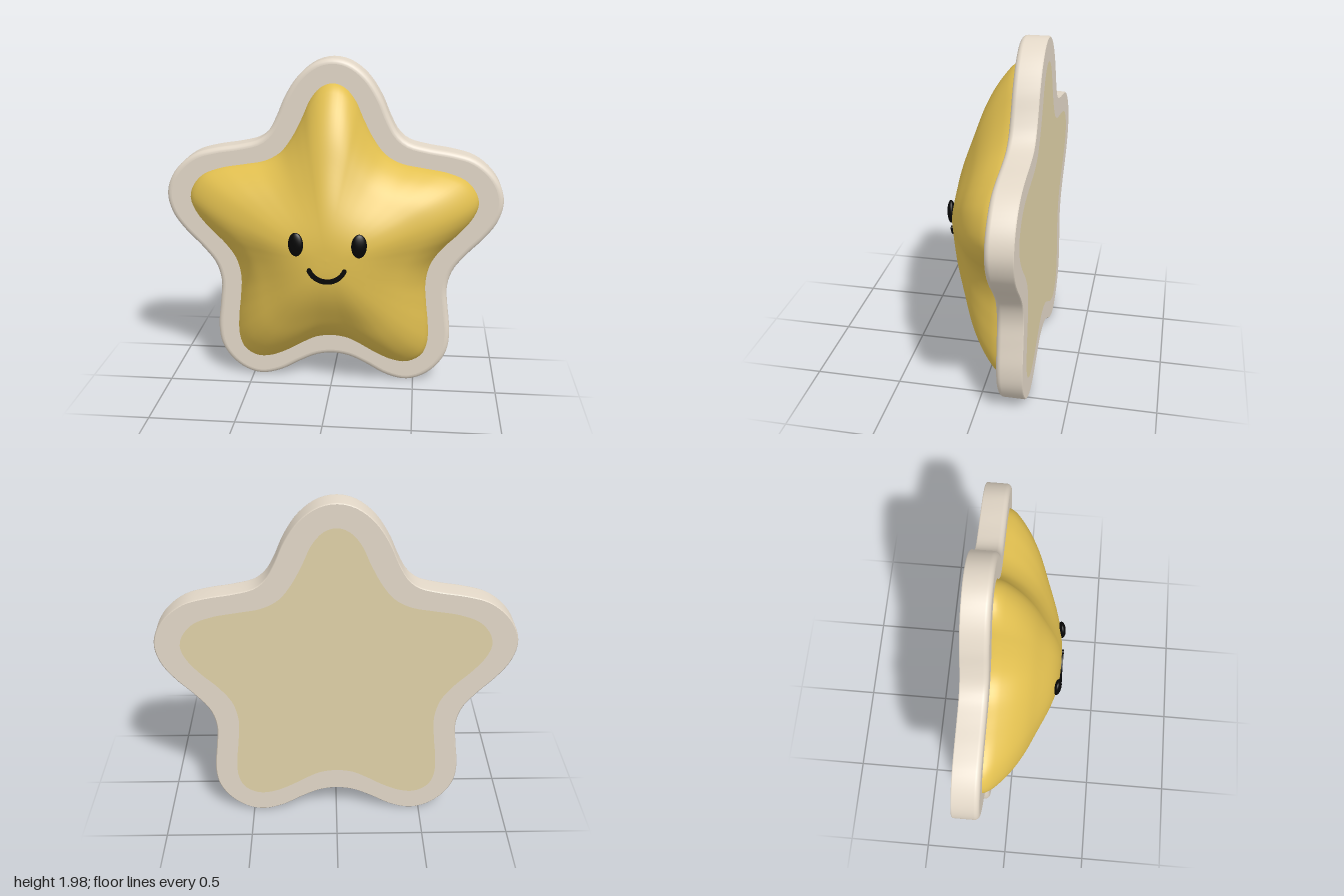
import * as THREE from 'three';

const CENTER_Y = 0.9;

// Right halves of the two star outlines, from the top tip to the bottom notch
const PLATE = [[0, 1.98], [0.1, 1.957], [0.2, 1.88], [0.28, 1.76], [0.33, 1.645], [0.38, 1.555], [0.44, 1.505],
  [0.55, 1.475], [0.7, 1.45], [0.82, 1.415], [0.92, 1.34], [0.98, 1.25], [1.0, 1.15], [0.97, 1.04], [0.9, 0.94],
  [0.8, 0.835], [0.72, 0.73], [0.69, 0.62], [0.7, 0.48], [0.716, 0.32], [0.7, 0.2], [0.64, 0.1], [0.55, 0.03],
  [0.45, 0.003], [0.33, 0.03], [0.2, 0.1], [0.1, 0.145], [0, 0.16]];
const BODY = [[0, 1.845], [0.07, 1.82], [0.13, 1.75], [0.18, 1.64], [0.24, 1.525], [0.31, 1.435], [0.4, 1.385],
  [0.53, 1.36], [0.67, 1.335], [0.78, 1.29], [0.84, 1.22], [0.858, 1.15], [0.83, 1.07], [0.76, 0.98], [0.66, 0.88],
  [0.59, 0.78], [0.562, 0.66], [0.57, 0.52], [0.585, 0.38], [0.583, 0.26], [0.55, 0.18], [0.47, 0.133],
  [0.38, 0.14], [0.28, 0.182], [0.18, 0.24], [0.1, 0.28], [0, 0.295]];

// Mirrors a half outline into a closed smooth loop, counter-clockwise from the front
function outline(half, count = 200) {
  const left = half.slice(1, -1).reverse().map(([x, y]) => [-x, y]);
  const pts = [...half, ...left].reverse().map(([x, y]) => new THREE.Vector3(x, y, 0));
  const loop = new THREE.CatmullRomCurve3(pts, true, 'centripetal').getSpacedPoints(count);
  loop.pop();
  return loop;
}

// Skins rings { scale, inset, round, z } of one outline; round blends the ring towards a circle,
// and a ring marked crease is doubled for a sharp edge
function loft(loop, rings) {
  const n = loop.length, pos = [], index = [];
  let row = 0;
  const addRing = ({ scale = 1, inset = 0, round = 0, z }) => {
    loop.forEach((p, i) => {
      const a = loop[(i + n - 1) % n], b = loop[(i + 1) % n];
      const len = Math.hypot(b.x - a.x, b.y - a.y);
      const x = p.x - (b.y - a.y) / len * inset, y = p.y + (b.x - a.x) / len * inset - CENTER_Y;
      const k = scale * (1 - round + round * 0.7 / Math.hypot(x, y));
      pos.push(x * k, CENTER_Y + y * k, z);
    });
    row++;
  };
  rings.forEach((ring, r) => {
    if (r > 0) {
      const a0 = (row - 1) * n, b0 = row * n;
      for (let i = 0; i < n; i++) {
        const j = (i + 1) % n;
        if (rings[r - 1].scale !== 0) index.push(a0 + i, a0 + j, b0 + i);
        if (ring.scale !== 0) index.push(a0 + j, b0 + j, b0 + i);
      }
    }
    addRing(ring);
    if (ring.crease) addRing(ring);
  });
  const geo = new THREE.BufferGeometry();
  geo.setAttribute('position', new THREE.Float32BufferAttribute(pos, 3));
  geo.setIndex(index);
  geo.computeVertexNormals();
  return geo;
}

export function createModel() {
  const group = new THREE.Group();
  const material = (name, color) => {
    const m = new THREE.MeshStandardMaterial({ color });
    m.name = name;
    return m;
  };
  const cream = material('cream', 0xe3d8c8);
  const tan = material('tan', 0xe0d2a8);
  const yellow = material('yellow', 0xe2c050);
  const black = material('black', 0x060606);
  const add = (name, geometry, mat) => {
    const mesh = new THREE.Mesh(geometry, mat);
    mesh.name = name;
    group.add(mesh);
    return mesh;
  };

  const plateLoop = outline(PLATE), bodyLoop = outline(BODY);

  // Backing plate: flat back, upright rim, rounded front edge
  const R = 0.03, plateRings = [
    { scale: 0, z: -0.27 }, { inset: 0.006, z: -0.27, crease: true }, { z: -0.264 }];
  for (let i = 0; i <= 6; i++) {
    const a = i / 6 * Math.PI / 2;
    plateRings.push({ inset: R * (1 - Math.cos(a)), z: -0.12 - R + R * Math.sin(a), crease: i === 6 });
  }
  plateRings.push({ scale: 0, z: -0.12 });
  add('backingPlate', loft(plateLoop, plateRings), cream);

  // Flush star panel on the back
  add('backPanel', loft(bodyLoop, [{ scale: 0, z: -0.271 }, { z: -0.271 }]), tan);

  // Puffed star body: height falls from the middle to the rim, valleys fade towards a round middle
  const profile = new THREE.CatmullRomCurve3([[1, 0], [0.988, 0.08], [0.96, 0.175], [0.87, 0.37], [0.75, 0.545],
    [0.6, 0.695], [0.4, 0.87], [0.26, 0.953], [0.14, 0.99], [0, 1]].map(([s, h]) => new THREE.Vector3(s, h, 0)));
  const bodyRings = profile.getPoints(45).map((p, i) => ({
    scale: i === 45 ? 0 : p.x, round: 1 - p.x, z: -0.128 + 0.384 * p.y }));
  add('starBody', loft(bodyLoop, bodyRings), yellow);

  // Oval eyes, turned to follow the body
  for (const side of [-1, 1]) {
    const eye = add(side > 0 ? 'leftEye' : 'rightEye', new THREE.SphereGeometry(1, 32, 20), black);
    eye.scale.set(0.044, 0.069, 0.022);
    eye.position.set(side * 0.178 + 0.004, 0.99, 0.243);
    eye.rotation.y = side * 0.2;
  }

  // Smile: an arc band with round ends
  const r = 0.109, w = 0.0125, a0 = Math.PI * 1.135, a1 = Math.PI * 1.865;
  const smile = new THREE.Shape();
  smile.absarc(0, 0, r + w, a0, a1, false);
  smile.absarc(r * Math.cos(a1), r * Math.sin(a1), w, a1, a1 + Math.PI, false);
  smile.absarc(0, 0, r - w, a1, a0, true);
  smile.absarc(r * Math.cos(a0), r * Math.sin(a0), w, a0 + Math.PI, a0 + Math.PI * 2, false);
  const mouth = add('mouth', new THREE.ExtrudeGeometry(smile, { depth: 0.04, bevelEnabled: false, curveSegments: 24 }), black);
  mouth.position.set(0.002, 0.888, 0.228);

  return group;
}
